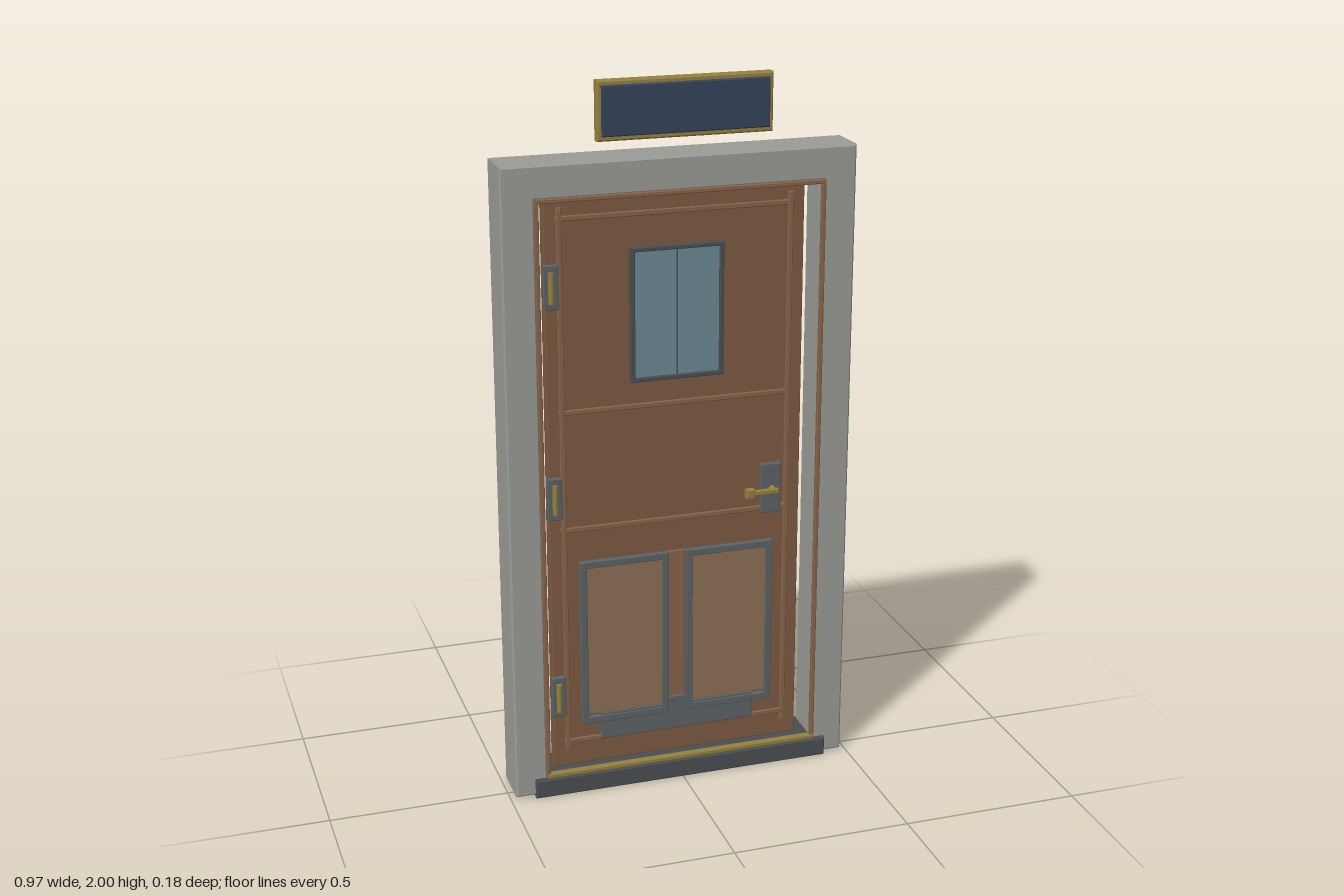
import * as THREE from 'three';

const mat = (color) => new THREE.MeshStandardMaterial({ color });
const stone = mat(0x9a9a95), wood = mat(0x7b5a42), moulding = mat(0x86644a), panelWood = mat(0x8c7055);
const iron = mat(0x5c6265), darkIron = mat(0x4a4e51), brass = mat(0x94803f), glass = mat(0x6d8a96), navy = mat(0x36435c);

// Flat outline (or hole) of a rectangle
function rectPoints(x0, x1, y0, y1) {
  return [[x0, y0], [x1, y0], [x1, y1], [x0, y1]].map(([x, y]) => new THREE.Vector2(x, y));
}

// Extrudes an outline from z0 to z1 with a small chamfer that stays inside the outline
function slab(name, points, hole, z0, z1, bevel, material) {
  const shape = new THREE.Shape(points);
  if (hole) shape.holes.push(new THREE.Path(hole));
  const geo = new THREE.ExtrudeGeometry(shape, {
    depth: z1 - z0 - 2 * bevel, bevelEnabled: bevel > 0,
    bevelThickness: bevel, bevelSize: bevel, bevelOffset: -bevel, bevelSegments: 1,
  });
  geo.translate(0, 0, z0 + bevel);
  const mesh = new THREE.Mesh(geo, material);
  mesh.name = name;
  return mesh;
}

// Chamfered box given by its extents
function block(name, x0, x1, y0, y1, z0, z1, material, bevel = 0.002) {
  return slab(name, rectPoints(x0, x1, y0, y1), null, z0, z1, bevel, material);
}

// Rectangular ring with a constant border width
function ring(name, x0, x1, y0, y1, w, z0, z1, material) {
  return slab(name, rectPoints(x0, x1, y0, y1),
    rectPoints(x0 + w, x1 - w, y0 + w, y1 - w), z0, z1, 0.002, material);
}

const FACE = -0.01; // front face of the door leaf

function createFrame() {
  const g = new THREE.Group();
  g.name = 'doorFrame';
  const outline = [[-0.485, 0.005], [-0.395, 0.005], [-0.395, 1.7], [0.395, 1.7],
    [0.395, 0.005], [0.485, 0.005], [0.485, 1.79], [-0.485, 1.79]].map(([x, y]) => new THREE.Vector2(x, y));
  g.add(slab('surround', outline, null, -0.085, 0.045, 0.005, stone));
  g.add(block('threshold', -0.43, 0.43, 0, 0.055, -0.095, 0.06, darkIron, 0.004));
  // Thin edging around the opening
  for (const s of [-1, 1]) {
    g.add(block('edging', s * 0.392 - 0.006, s * 0.392 + 0.006, 0.055, 1.703, 0.04, 0.053, moulding));
  }
  g.add(block('edgingTop', -0.398, 0.398, 1.691, 1.703, 0.04, 0.053, moulding));
  g.add(block('sillStrip', -0.395, 0.395, 0.055, 0.068, 0.036, 0.056, brass));
  return g;
}

function createDoor() {
  const g = new THREE.Group();
  g.name = 'door';
  g.add(block('doorLeaf', -0.36, 0.36, 0.055, 1.695, -0.047, FACE, wood));

  // Raised mouldings
  for (const x of [-0.32, 0.32]) {
    g.add(block('stileMoulding', x - 0.007, x + 0.007, 0.1, 1.665, FACE - 0.004, FACE + 0.007, moulding));
  }
  for (const y of [0.13, 0.768, 1.105, 1.635]) {
    g.add(block('railMoulding', -0.33, 0.33, y - 0.007, y + 0.007, FACE - 0.004, FACE + 0.006, moulding));
  }

  // Window with a central glazing bar
  g.add(ring('windowFrame', -0.13, 0.13, 1.175, 1.545, 0.012, FACE - 0.004, FACE + 0.016, darkIron));
  g.add(block('windowGlass', -0.12, 0.12, 1.185, 1.535, FACE - 0.004, FACE + 0.008, glass));
  g.add(block('glazingBar', -0.002, 0.002, 1.185, 1.535, FACE, FACE + 0.01, darkIron, 0.0005));

  // Lower panels, centre strip and kick plate
  for (const s of [-1, 1]) {
    const x0 = s < 0 ? -0.28 : 0.025, x1 = x0 + 0.255;
    g.add(ring('panelFrame', x0, x1, 0.18, 0.672, 0.02, FACE - 0.004, FACE + 0.014, iron));
    g.add(block('lowerPanel', x0 + 0.016, x1 - 0.016, 0.205, 0.656, FACE - 0.004, FACE + 0.01, panelWood, 0.004));
  }
  g.add(block('centreStrip', -0.025, 0.025, 0.225, 0.672, FACE - 0.004, FACE + 0.005, moulding));
  g.add(block('kickPlate', -0.225, 0.225, 0.128, 0.208, FACE - 0.004, FACE + 0.012, iron));
  g.add(block('kickPlateTab', -0.025, 0.025, 0.2, 0.228, FACE - 0.004, FACE + 0.012, iron));
  return g;
}

function createHinge(y) {
  const g = new THREE.Group();
  g.name = 'hinge';
  g.add(block('hingePlate', -0.366, -0.326, y - 0.06, y + 0.06, FACE - 0.004, FACE + 0.014, iron));
  const pin = new THREE.Mesh(new THREE.CylinderGeometry(0.008, 0.008, 0.085, 12), brass);
  pin.name = 'hingePin';
  pin.position.set(-0.346, y, FACE + 0.016);
  g.add(pin);
  return g;
}

function createHandle() {
  const g = new THREE.Group();
  g.name = 'handle';
  g.add(block('handlePlate', 0.244, 0.301, 0.755, 0.9, FACE - 0.004, FACE + 0.014, iron));
  const spindle = new THREE.Mesh(new THREE.CylinderGeometry(0.009, 0.009, 0.03, 12), brass);
  spindle.name = 'handleSpindle';
  spindle.rotation.x = Math.PI / 2;
  spindle.position.set(0.275, 0.828, FACE + 0.024);
  g.add(spindle);
  g.add(block('handleLever', 0.2, 0.286, 0.821, 0.835, FACE + 0.03, FACE + 0.044, brass));
  g.add(block('handleTip', 0.19, 0.214, 0.815, 0.841, FACE + 0.026, FACE + 0.046, brass));
  return g;
}

function createSign() {
  const g = new THREE.Group();
  g.name = 'sign';
  g.add(block('signBacking', -0.236, 0.236, 1.845, 2, 0.045, 0.075, brass, 0.004));
  g.add(block('signFace', -0.225, 0.225, 1.858, 1.988, 0.07, 0.084, navy, 0.003));
  return g;
}

export function createModel() {
  const model = new THREE.Group();
  model.name = 'doorway';
  model.add(createFrame(), createDoor(), createHandle(), createSign());
  for (const y of [0.275, 0.865, 1.455]) model.add(createHinge(y));
  return model;
}
